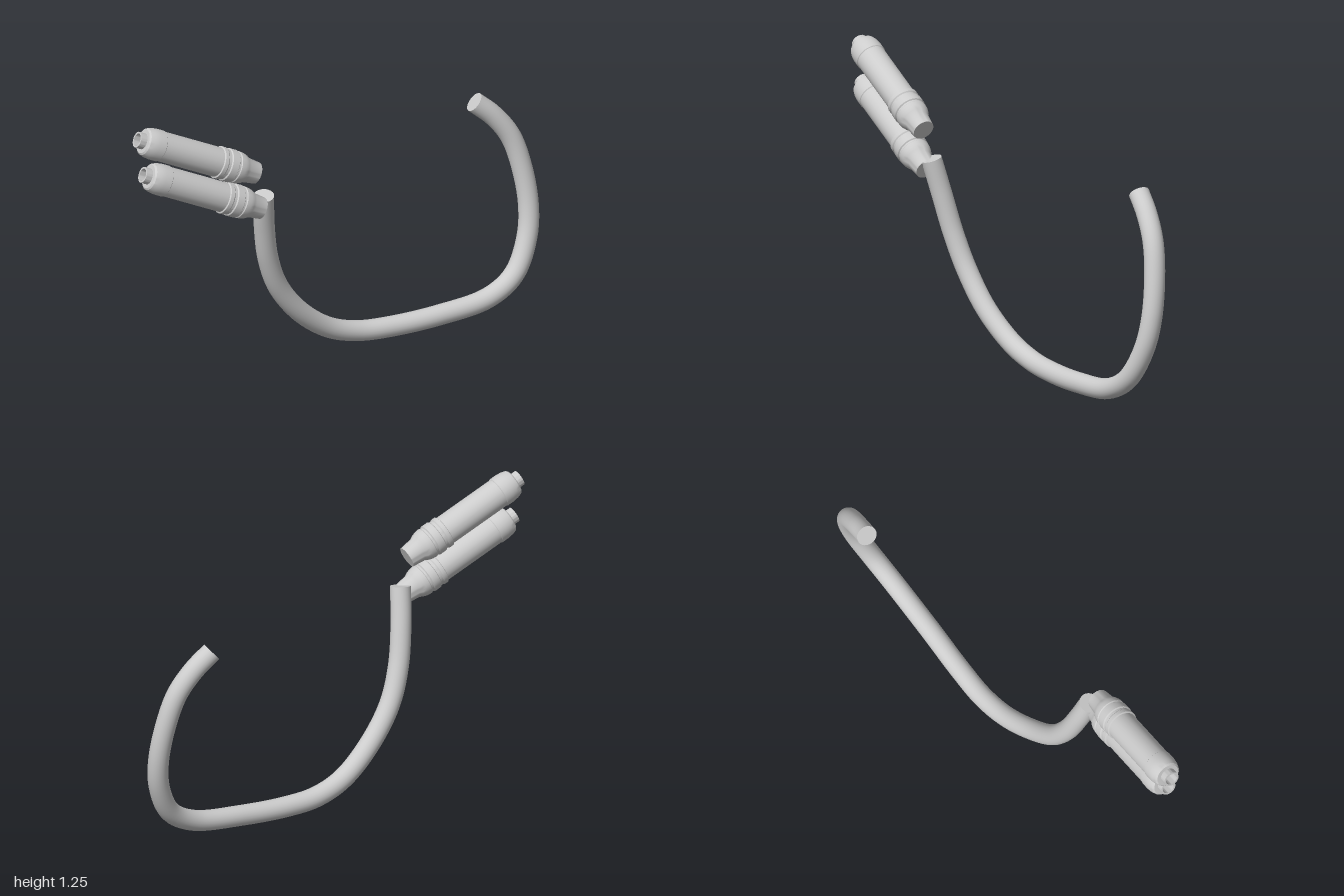
import * as THREE from 'three';
import { toCreasedNormals } from 'three/addons/utils/BufferGeometryUtils.js';

const V = (x, y, z) => new THREE.Vector3(x, y, z);

export function createModel() {
  const model = new THREE.Group();
  model.name = 'cableWithConnectors';
  const grey = new THREE.MeshStandardMaterial({ color: 0xcccccc });
  grey.name = 'light grey';

  const add = (parent, name, geometry) => {
    const mesh = new THREE.Mesh(geometry, grey);
    mesh.name = name;
    parent.add(mesh);
    return mesh;
  };

  // Bent cable
  const R = 0.045;
  const path = new THREE.CatmullRomCurve3([
    V(-0.39, 0.85, 0.177), V(-0.373, 0.70, 0.138), V(-0.34, 0.52, 0.097), V(-0.28, 0.365, 0.062),
    V(-0.17, 0.22, 0.028), V(-0.02, 0.105, -0.015), V(0.12, 0.058, -0.042), V(0.27, 0.048, -0.056),
    V(0.5, 0.06, -0.072), V(0.74, 0.097, -0.097), V(0.865, 0.175, -0.125), V(0.937, 0.32, -0.163),
    V(0.954, 0.46, -0.19), V(0.93, 0.64, -0.216), V(0.885, 0.775, -0.231), V(0.81, 0.875, -0.24),
    V(0.728, 0.945, -0.245),
  ]);
  const cable = new THREE.Group();
  cable.name = 'cable';
  model.add(cable);
  add(cable, 'cableTube', new THREE.TubeGeometry(path, 120, R, 24, false));
  for (const [t, sign, name] of [[0, -1, 'cableStartCap'], [1, 1, 'cableEndCap']]) {
    const cap = add(cable, name, new THREE.CircleGeometry(R, 24));
    cap.position.copy(path.getPoint(t));
    cap.quaternion.setFromUnitVectors(V(0, 0, 1), path.getTangent(t).multiplyScalar(sign));
  }

  // Connector profile: radius, distance from the open tip
  const profile = [
    [0, 0.08], [0.027, 0.08], [0.027, 0], [0.035, 0], [0.035, 0.03], // socket and tip
    [0.052, 0.03], [0.059, 0.036], [0.065, 0.055], [0.068, 0.08], [0.068, 0.112], // head
    [0.065, 0.115], [0.065, 0.405], // barrel
    [0.071, 0.408], [0.071, 0.425], [0.067, 0.43], [0.067, 0.442], // collars
    [0.072, 0.446], [0.072, 0.478], [0.067, 0.482], [0.067, 0.49],
    [0.07, 0.494], [0.068, 0.515], [0.062, 0.533], [0.054, 0.548], // shoulder
    [0.047, 0.606], [0, 0.606], // tail
  ].map(([r, y]) => new THREE.Vector2(r, y));
  const connectorGeometry = toCreasedNormals(new THREE.LatheGeometry(profile, 40), 0.55);

  const axis = V(0.553, -0.249, -0.025).normalize();
  for (const [name, tip] of [
    ['upperConnector', V(-0.982, 1.217, 0.219)],
    ['lowerConnector', V(-0.957, 1.05, 0.219)],
  ]) {
    const connector = add(model, name, connectorGeometry);
    connector.position.copy(tip);
    connector.quaternion.setFromUnitVectors(V(0, 1, 0), axis);
  }
  return model;
}
